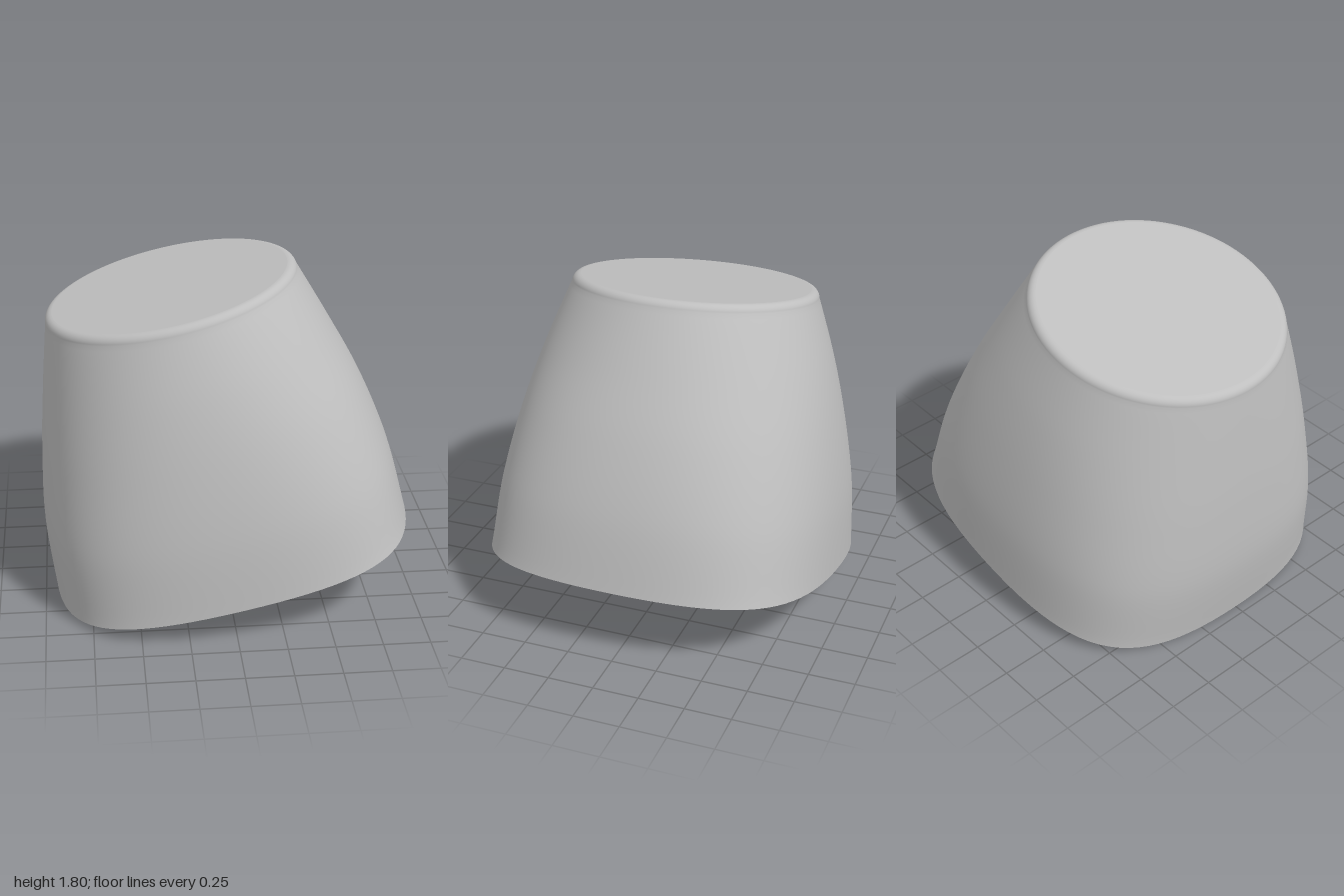
import * as THREE from 'three';

const SEG = 24;            // steps per quarter of a section
const COLS = SEG * 4;
const ROWS = 32;           // steps up the wall
const FILLET = 8;          // steps round the top edge
const RADIUS = 0.045;

const spline = (pts) => new THREE.SplineCurve(pts.map(([x, y]) => new THREE.Vector2(x, y)));

// Side profiles of the leaning body, and its half depth
const low = spline([[-0.945, 0], [-0.994, 0.38], [-0.992, 0.77], [-0.972, 1.13], [-0.945, 1.48]]);
const high = spline([[1, 0.42], [0.9, 0.79], [0.75, 1.146], [0.575, 1.463], [0.395, 1.768]]);
const depth = spline([[0, 0.945], [0.25, 0.925], [0.5, 0.866], [0.75, 0.783], [1, 0.672]]);

// One tilted section: four Bezier quarters, from rounded square (k = 0.78) to circle (k = 0.552)
function section(v, inset = 0, lift = 0) {
  const l = low.getPoint(v), r = high.getPoint(v);
  const mid = l.clone().add(r).multiplyScalar(0.5);
  const half = r.clone().sub(l).multiplyScalar(0.5);
  const axis = half.clone().normalize();
  const a = half.length() - inset;
  const d = depth.getPoint(v).y - inset;
  const k = THREE.MathUtils.lerp(0.78, 0.552, v);
  const ring = [];
  for (let j = 0; j < COLS; j++) {
    const t = (j % SEG) / SEG, u = 1 - t;
    let x = u * u * u + 3 * u * u * t + 3 * u * t * t * k;
    let z = 3 * u * u * t * k + 3 * u * t * t + t * t * t;
    for (let q = Math.floor(j / SEG); q > 0; q--) [x, z] = [-z, x];
    ring.push([
      mid.x + axis.x * a * x - axis.y * lift,
      mid.y + axis.y * a * x + axis.x * lift,
      d * z,
    ]);
  }
  return ring;
}

function geometry(points, index) {
  const g = new THREE.BufferGeometry();
  g.setAttribute('position', new THREE.Float32BufferAttribute(points.flat(), 3));
  g.setIndex(index);
  g.computeVertexNormals();
  return g;
}

// Smooth wall through a stack of closed sections
function loft(rings) {
  const index = [];
  for (let i = 0; i < rings.length - 1; i++) {
    for (let j = 0; j < COLS; j++) {
      const n = (j + 1) % COLS;
      const a = i * COLS + j, b = i * COLS + n, c = a + COLS, d = b + COLS;
      index.push(a, c, b, b, c, d);
    }
  }
  return geometry(rings.flat(), index);
}

// Flat fan closing one section
function cap(ring, up) {
  const centre = [0, 1, 2].map((i) => ring.reduce((s, p) => s + p[i], 0) / COLS);
  const index = [];
  for (let j = 0; j < COLS; j++) {
    const n = (j + 1) % COLS;
    index.push(COLS, up ? n : j, up ? j : n);
  }
  return geometry([...ring, centre], index);
}

export function createModel() {
  const group = new THREE.Group();
  group.name = 'leaningBlock';
  const grey = new THREE.MeshStandardMaterial({ color: 0xbfbfbf });
  grey.name = 'grey';

  const rings = [];
  for (let i = 0; i <= ROWS; i++) rings.push(section(i / ROWS));
  // Rounded top edge
  for (let i = 1; i <= FILLET; i++) {
    const t = (i / FILLET) * Math.PI / 2;
    rings.push(section(1, RADIUS * (1 - Math.cos(t)), RADIUS * Math.sin(t)));
  }

  const add = (name, geo) => {
    const mesh = new THREE.Mesh(geo, grey);
    mesh.name = name;
    group.add(mesh);
  };
  add('body', loft(rings));
  add('topFace', cap(rings[rings.length - 1], true));
  add('base', cap(rings[0], false));
  return group;
}
